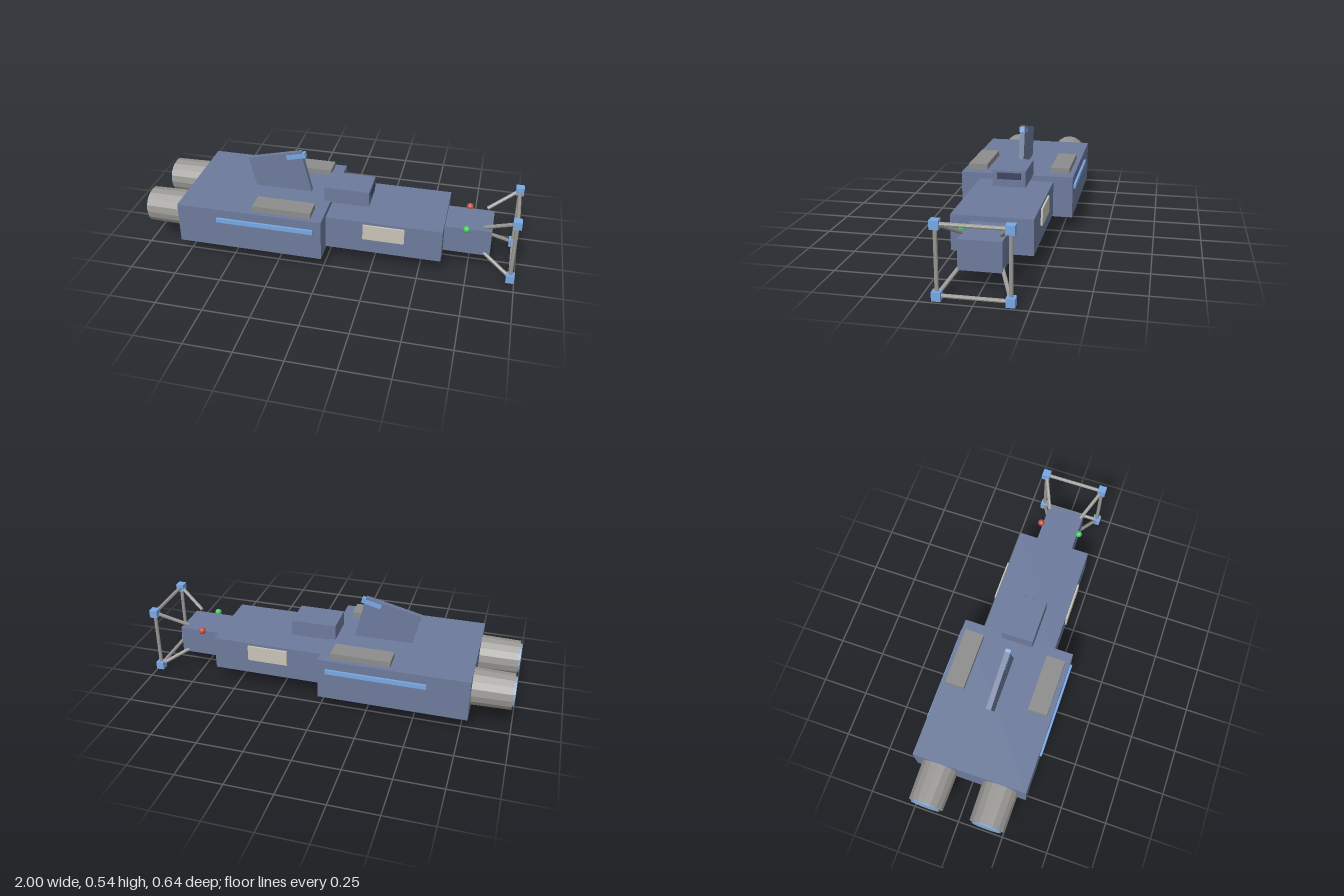
import * as THREE from 'three';

const mat = (color) => new THREE.MeshStandardMaterial({ color, flatShading: true });

export function createModel() {
  const model = new THREE.Group();
  const hullMat = mat(0x6c7a9c), blue = mat(0x78a8e4), metal = mat(0x9a9894);
  const plateMat = mat(0x8c8c8c), panelMat = mat(0xc8c4b8), dark = mat(0x3c4460);
  const red = mat(0xc85040), green = mat(0x48c860), glow = mat(0x88aacc);

  const add = (name, geometry, material, x = 0, y = 0, z = 0) => {
    const mesh = new THREE.Mesh(geometry, material);
    mesh.name = name;
    mesh.position.set(x, y, z);
    model.add(mesh);
    return mesh;
  };
  // Box given by its limits on each axis
  const box = (name, material, [x0, x1], [y0, y1], [z0, z1]) =>
    add(name, new THREE.BoxGeometry(x1 - x0, y1 - y0, z1 - z0), material,
      (x0 + x1) / 2, (y0 + y1) / 2, (z0 + z1) / 2);
  // Round rod between two points
  const rod = (name, a, b, radius = 0.01) => {
    const from = new THREE.Vector3(...a), to = new THREE.Vector3(...b);
    const dir = to.clone().sub(from);
    const mesh = add(name, new THREE.CylinderGeometry(radius, radius, dir.length(), 8), metal);
    mesh.position.copy(from).add(to).multiplyScalar(0.5);
    mesh.quaternion.setFromUnitVectors(new THREE.Vector3(0, 1, 0), dir.normalize());
  };

  // Stepped hull
  box('rearHull', hullMat, [-0.785, 0], [0.082, 0.308], [-0.308, 0.308]);
  box('middleHull', hullMat, [-0.02, 0.615], [0.095, 0.278], [-0.203, 0.203]);
  box('noseHull', hullMat, [0.6, 0.86], [0.103, 0.252], [-0.104, 0.104]);

  // Bridge with front window
  box('bridge', hullMat, [-0.035, 0.208], [0.302, 0.388], [-0.088, 0.088]);
  box('bridgeWindow', dark, [0.2, 0.213], [0.343, 0.377], [-0.063, 0.063]);

  // Leaning fin and the lamp at its tip
  const lean = 0.235;
  add('fin', new THREE.BoxGeometry(0.303, 0.26, 0.027), hullMat, -0.297, 0.381, 0).rotation.z = lean;
  add('finLamp', new THREE.BoxGeometry(0.108, 0.028, 0.029), blue, -0.209, 0.512, 0).rotation.z = lean;

  // Belly drum
  add('bellyDrum', new THREE.CylinderGeometry(0.095, 0.095, 0.1, 16), metal, -0.13, 0.05, 0);

  for (const s of [1, -1]) {
    const span = (a, b) => (s > 0 ? [a, b] : [-b, -a]);

    // Engine and exhaust disc
    add('engine', new THREE.CylinderGeometry(0.094, 0.099, 0.23, 16), metal, -0.875, 0.203, s * 0.167)
      .rotation.z = Math.PI / 2;
    add('exhaust', new THREE.CylinderGeometry(0.079, 0.079, 0.02, 16), glow, -0.99, 0.203, s * 0.167)
      .rotation.z = Math.PI / 2;

    // Strips, plates and panels
    box('sideStrip', blue, [-0.567, -0.043], [0.235, 0.259], span(0.3, 0.32));
    box('deckPlate', plateMat, [-0.375, -0.062], [0.3, 0.34], span(0.178, 0.282));
    box('sidePanel', panelMat, [0.2, 0.42], [0.178, 0.264], span(0.195, 0.213));

    // Navigation light
    add('navigationLight', new THREE.SphereGeometry(0.019, 10, 8), s > 0 ? green : red,
      0.728, 0.257, s * 0.114);
  }

  // Square sensor frame ahead of the nose
  const fx = 0.978, midY = 0.195, h = 0.167;
  for (const s of [1, -1]) {
    rod('frameUpright', [fx, midY - h, s * h], [fx, midY + h, s * h]);
    rod('frameCrossbar', [fx, midY + s * h, -h], [fx, midY + s * h, h]);
    for (const t of [1, -1]) {
      add('frameCorner', new THREE.BoxGeometry(0.043, 0.043, 0.043), blue, fx, midY + t * h, s * h);
      rod('frameStrut', [fx, midY + t * h, s * h], [0.82, midY + t * 0.076, s * 0.093]);
    }
  }
  return model;
}
